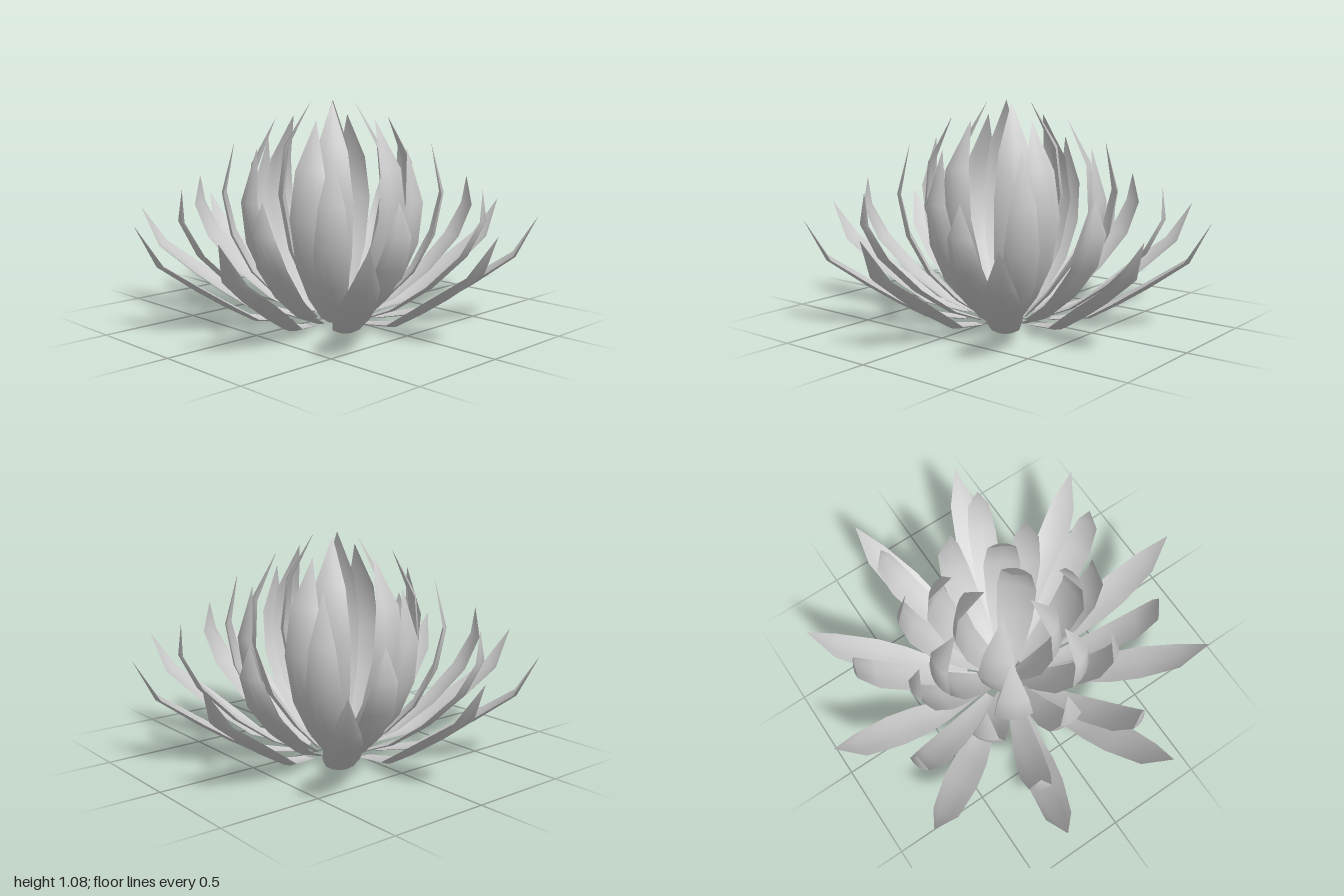
import * as THREE from 'three';
import { toCreasedNormals } from 'three/addons/utils/BufferGeometryUtils.js';

// Each ring: petal count, starting angle, half-width, and the [radius, height] spine of a petal
const RINGS = [
  { name: 'outerPetal', count: 10, start: 0, width: 0.088,
    spine: [[0.22, 0], [0.43, 0.03], [0.57, 0.11], [0.71, 0.2], [0.9, 0.337], [1, 0.535]] },
  { name: 'secondPetal', count: 8, start: Math.PI / 8, width: 0.075,
    spine: [[0.17, 0], [0.33, 0.06], [0.52, 0.19], [0.69, 0.36], [0.775, 0.53], [0.757, 0.68]] },
  { name: 'middlePetal', count: 8, start: 0, width: 0.082,
    spine: [[0.13, 0], [0.27, 0.09], [0.41, 0.23], [0.51, 0.42], [0.55, 0.63], [0.485, 0.875]] },
  { name: 'fourthPetal', count: 6, start: 0, width: 0.095,
    spine: [[0.09, 0], [0.21, 0.12], [0.34, 0.3], [0.425, 0.55], [0.405, 0.78], [0.285, 1]] },
  { name: 'innerPetal', count: 4, start: Math.PI / 4, width: 0.1,
    spine: [[0.05, 0], [0.13, 0.13], [0.22, 0.34], [0.27, 0.62], [0.24, 0.86], [0.106, 1.08]] },
];
const TAPER = [0.38, 0.72, 0.95, 1, 0.74, 0.01];

// Cross-section loop: across the outer face, then back along the inner face
const SECTION = [[-1, 0], [-0.5, 0], [0, 0], [0.5, 0], [1, 0], [0.5, 1], [0, 1], [-0.5, 1]];

// A cupped, pointed petal lofted along its spine, pointing to +x
function petalGeometry(spine, width) {
  const pos = [], index = [], n = SECTION.length;
  spine.forEach(([r, y], i) => {
    const a = spine[Math.max(i - 1, 0)], b = spine[Math.min(i + 1, spine.length - 1)];
    const t = new THREE.Vector2(b[0] - a[0], b[1] - a[1]).normalize();
    const w = width * TAPER[i];
    for (const [u, inner] of SECTION) {
      const lift = w * (0.28 * u * u + inner * 0.13 * (1 - u * u));
      pos.push(r - t.y * lift, y + t.x * lift, u * w);
    }
  });
  for (let i = 0; i < spine.length - 1; i++) {
    for (let j = 0; j < n; j++) {
      const k = (j + 1) % n, p = i * n, q = p + n;
      index.push(p + j, q + j, q + k, p + j, q + k, p + k);
    }
  }
  // Base and tip caps
  const last = (spine.length - 1) * n;
  for (let j = 1; j < n - 1; j++) {
    index.push(0, j, j + 1, last, last + j + 1, last + j);
  }
  const geo = new THREE.BufferGeometry();
  geo.setAttribute('position', new THREE.Float32BufferAttribute(pos, 3));
  geo.setIndex(index);
  return toCreasedNormals(geo, 0.9);
}

export function createModel() {
  const flower = new THREE.Group();
  flower.name = 'flower';
  const material = new THREE.MeshStandardMaterial({ color: 0xcccccc, side: THREE.DoubleSide });
  for (const { name, count, start, width, spine } of RINGS) {
    const ring = new THREE.Group();
    ring.name = name + 'Ring';
    const geometry = petalGeometry(spine, width);
    for (let i = 0; i < count; i++) {
      const petal = new THREE.Mesh(geometry, material);
      petal.name = name;
      petal.rotation.y = start + (i / count) * Math.PI * 2;
      ring.add(petal);
    }
    flower.add(ring);
  }
  return flower;
}
